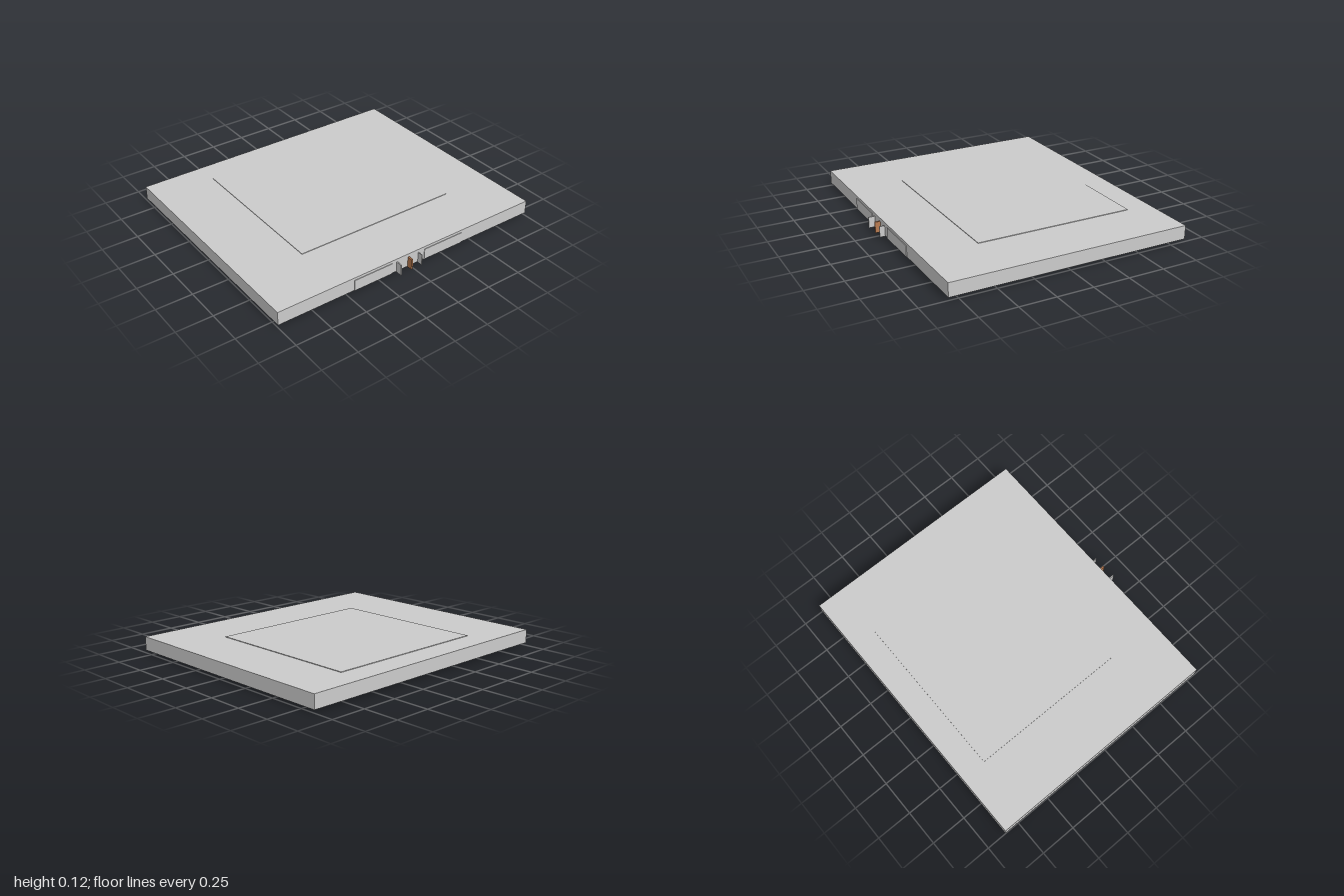
import * as THREE from 'three';

const grey = new THREE.MeshStandardMaterial({ color: 0xcccccc, flatShading: true });
const copper = new THREE.MeshStandardMaterial({ color: 0xb87a50, flatShading: true });

export function createModel() {
  const model = new THREE.Group();

  // Box given by its lower and upper limits on each axis
  const box = (name, [x0, x1], [y0, y1], [z0, z1], material = grey) => {
    const mesh = new THREE.Mesh(new THREE.BoxGeometry(x1 - x0, y1 - y0, z1 - z0), material);
    mesh.position.set((x0 + x1) / 2, (y0 + y1) / 2, (z0 + z1) / 2);
    mesh.name = name;
    model.add(mesh);
    return mesh;
  };

  // Main slab with a thin raised panel above and below
  box('slab', [-0.858, 0.814], [0.019, 0.113], [-1, 1]);
  box('topPanel', [-0.68, 0.43], [0.11, 0.117], [-0.62, 0.57]);
  box('bottomPanel', [-0.7, 0.43], [0.015, 0.02], [-0.6, 0.575]);

  // Long narrow rail under the slab, with its end block and small foot
  box('bottomRail', [-0.81, 0.8], [0.013, 0.02], [-0.622, -0.6]);
  box('railEndBlock', [-0.8, -0.69], [0.013, 0.02], [-0.68, -0.6]);
  box('railFoot', [0.26, 0.33], [0, 0.014], [-0.612, -0.592]);
  box('panelCatch', [0.36, 0.43], [0.013, 0.02], [0.57, 0.59]);

  // Thin strip running from the bottom panel to the side
  const strip = box('bottomStrip', [0.42, 0.82], [0.0165, 0.02], [-0.463, -0.457]);
  strip.rotation.y = -0.3;

  // Thin cover plates on the left edge
  for (const span of [[-0.41, -0.1], [0.16, 0.45]]) {
    box('sidePlate', [0.812, 0.818], [0.019, 0.095], span);
  }

  // Three upright tabs with feet running under the slab
  const tabs = [
    { z: 0.12, reach: 0.858, half: 0.004, material: grey },
    { z: 0.028, reach: 0.85, half: 0.006, material: copper },
    { z: -0.052, reach: 0.85, half: 0.003, material: grey },
  ];
  for (const { z, reach, half, material } of tabs) {
    const depth = [z - half, z + half];
    box('tab', [0.81, reach], [0.015, 0.09], depth, material);
    box('tabFoot', [0.71, 0.82], [0.015, 0.02], depth, material);
  }

  return model;
}
